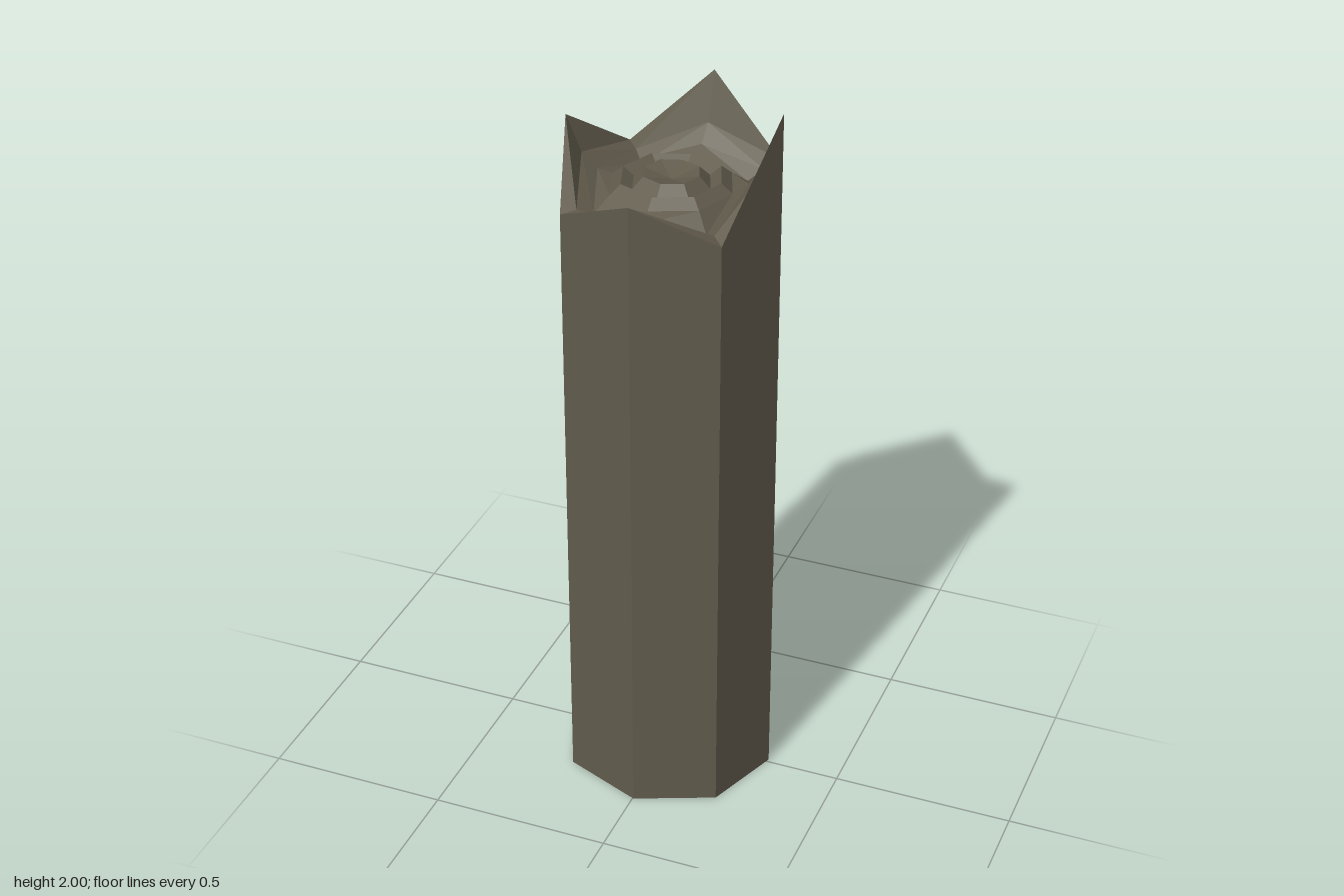
import * as THREE from 'three';

// Jagged rim corners, counter-clockwise from the left side: x, height, z
const rim = [
  [0.293, 2.0, -0.01], [0.212, 1.77, -0.218], [0.003, 1.955, -0.293], [-0.207, 1.75, -0.226],
  [-0.293, 1.9, -0.01], [-0.218, 1.73, 0.205], [0.003, 1.83, 0.293], [0.214, 1.72, 0.204],
];

// A ring of the trunk outline, scaled inwards, with its height taken from the rim height
const ring = (scale, height) => rim.map(([x, y, z]) => [x * scale, height(y), z * scale]);

// Joins successive rings with flat faces
function skin(rings) {
  const pos = [];
  const n = rim.length;
  for (let k = 0; k + 1 < rings.length; k++) {
    for (let i = 0; i < n; i++) {
      const j = (i + 1) % n;
      const [a, b, c, d] = [rings[k][i], rings[k][j], rings[k + 1][j], rings[k + 1][i]];
      pos.push(...a, ...b, ...c, ...a, ...c, ...d);
    }
  }
  const geo = new THREE.BufferGeometry();
  geo.setAttribute('position', new THREE.Float32BufferAttribute(pos, 3));
  geo.computeVertexNormals();
  return geo;
}

export function createModel() {
  const group = new THREE.Group();
  group.name = 'brokenLog';
  const wood = new THREE.MeshStandardMaterial({ color: 0x625c4d, flatShading: true });

  const add = (name, rings) => {
    const mesh = new THREE.Mesh(skin(rings), wood);
    mesh.name = name;
    group.add(mesh);
  };

  // Straight eight-sided trunk with a closed base
  add('trunk', [ring(0, () => 0), ring(1, () => 0), ring(1, (y) => y)]);

  // Splintered top: the rim drops inwards to rippled growth rings
  add('splinteredTop', [
    ring(1, (y) => y),
    ring(0.853, (y) => 1.735 + 0.4 * (y - 1.73)),
    ring(0.703, (y) => 1.715 + 0.3 * (y - 1.73)),
    ring(0.556, () => 1.76),
    ring(0.457, () => 1.785),
    ring(0.355, () => 1.765),
    ring(0.256, () => 1.795),
    ring(0, () => 1.775),
  ]);

  return group;
}
